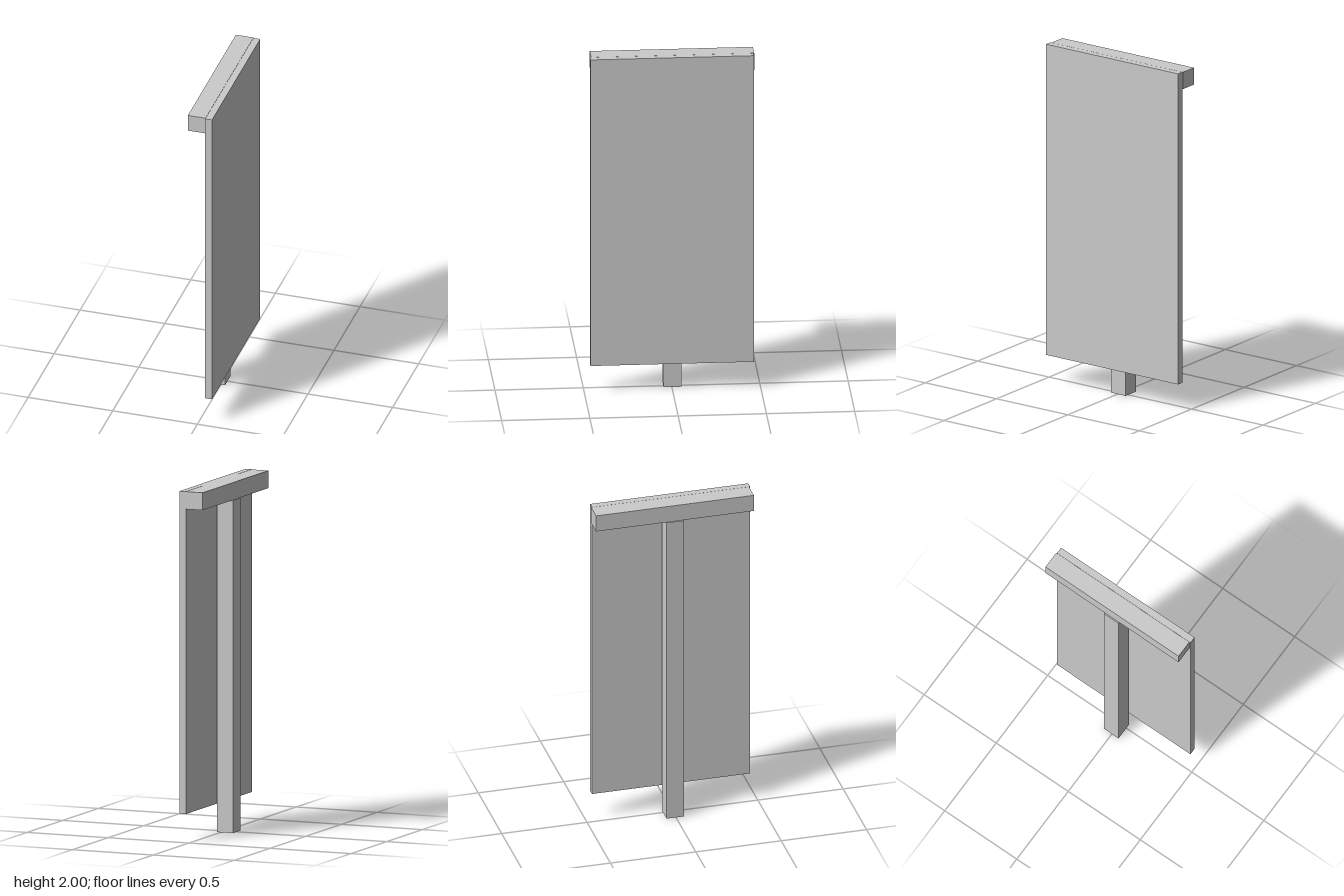
import * as THREE from 'three';

const material = new THREE.MeshStandardMaterial({ color: 0xcccccc, flatShading: true });

// Box given by its [min, max] range on each axis
function block(name, [x0, x1], [y0, y1], [z0, z1]) {
  const mesh = new THREE.Mesh(new THREE.BoxGeometry(x1 - x0, y1 - y0, z1 - z0), material);
  mesh.position.set((x0 + x1) / 2, (y0 + y1) / 2, (z0 + z1) / 2);
  mesh.name = name;
  return mesh;
}

export function createModel() {
  const group = new THREE.Group();
  group.name = 'signBoard';
  group.add(
    // Upright post, off the panel by a small gap
    block('post', [-0.076, 0.024], [0, 1.9], [-0.055, 0.046]),
    // Crossbar resting on the post
    block('crossbar', [-0.069, 0.035], [1.9, 2], [-0.466, 0.458]),
    // Flat panel hung on the side of the crossbar
    block('panel', [0.036, 0.076], [0.158, 2], [-0.461, 0.465]),
  );
  return group;
}
